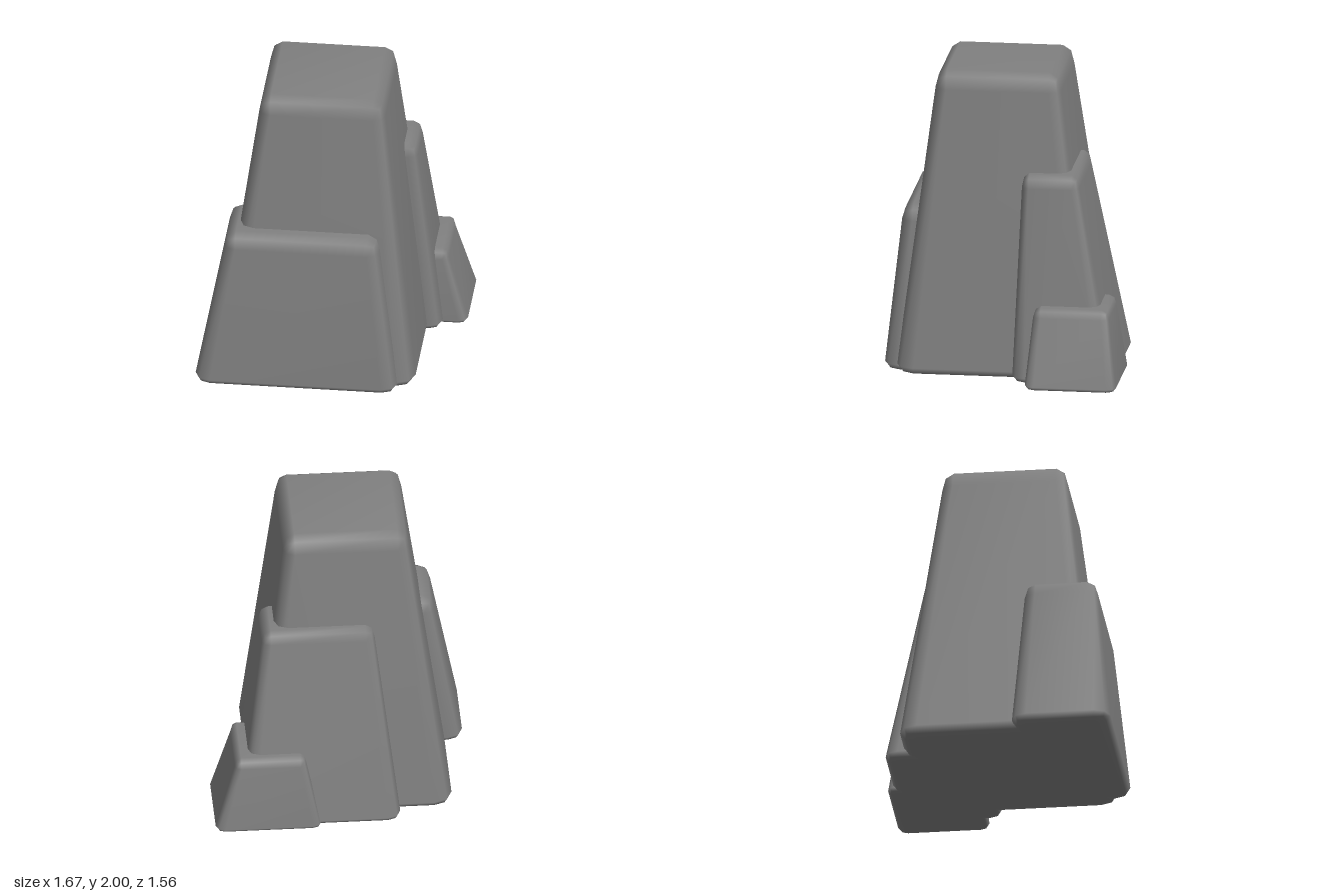
import * as THREE from 'three';
import { mergeVertices } from 'three/addons/utils/BufferGeometryUtils.js';
import { RoundedBoxGeometry } from 'three/addons/geometries/RoundedBoxGeometry.js';

const stone = new THREE.MeshStandardMaterial({ color: 0x808080 });
stone.name = 'stone grey';

// Bevelled block tapering from a bottom to a top footprint, each [x0, x1, z0, z1].
function taperedBlock(name, height, radius, bottom, top) {
  const w = bottom[1] - bottom[0], d = bottom[3] - bottom[2];
  const rounded = new RoundedBoxGeometry(w, height, d, 1, radius);
  rounded.deleteAttribute('normal');
  rounded.deleteAttribute('uv');
  const geometry = mergeVertices(rounded, 1e-4);
  const p = geometry.attributes.position;
  const lowerEdge = radius * 0.5;
  for (let i = 0; i < p.count; i++) {
    let y = p.getY(i) + height / 2;
    if (y < radius + 1e-5) y *= 0.5; // shallower bevel at the foot
    const t = THREE.MathUtils.clamp((y - lowerEdge) / (height - radius - lowerEdge), 0, 1);
    const [x0, x1, z0, z1] = bottom.map((b, k) => THREE.MathUtils.lerp(b, top[k], t));
    p.setXYZ(i,
      THREE.MathUtils.lerp(x0, x1, p.getX(i) / w + 0.5),
      y,
      THREE.MathUtils.lerp(z0, z1, p.getZ(i) / d + 0.5));
  }
  geometry.computeVertexNormals();
  const mesh = new THREE.Mesh(geometry, stone);
  mesh.name = name;
  return mesh;
}

export function createModel() {
  const group = new THREE.Group();
  group.name = 'rockFormation';
  group.add(
    taperedBlock('mainRock', 2, 0.12, [-0.715, 0.583, -0.61, 0.69], [-0.455, 0.365, -0.36, 0.46]),
    taperedBlock('frontRock', 1.085, 0.1, [-0.838, 0.478, 0.135, 0.778], [-0.66, 0.35, 0.2, 0.68]),
    taperedBlock('backRock', 1.36, 0.085, [-0.37, 0.675, -0.74, -0.08], [-0.22, 0.515, -0.5, -0.125]),
    taperedBlock('smallRock', 0.52, 0.06, [0.145, 0.833, -0.78, -0.185], [0.24, 0.705, -0.72, -0.225])
  );
  return group;
}
